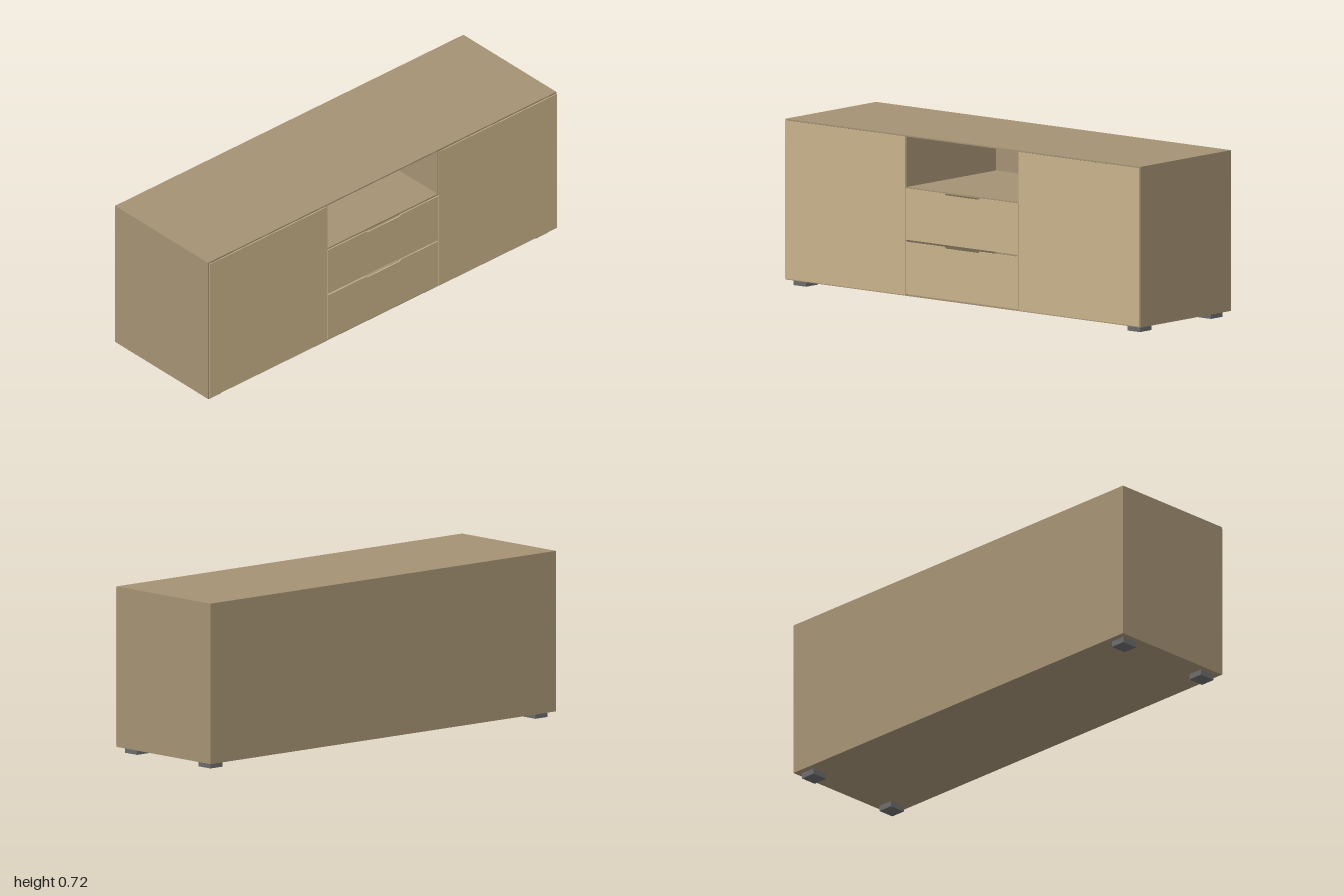
import * as THREE from 'three';

const bodyMat = new THREE.MeshStandardMaterial({ color: 0xa49274 });
const frontMat = new THREE.MeshStandardMaterial({ color: 0xc8b28a });
const footMat = new THREE.MeshStandardMaterial({ color: 0x6b6b6b });

// Box given by its lower and upper limits on each axis
function box(name, mat, [x0, x1], [y0, y1], [z0, z1]) {
  const mesh = new THREE.Mesh(new THREE.BoxGeometry(x1 - x0, y1 - y0, z1 - z0), mat);
  mesh.position.set((x0 + x1) / 2, (y0 + y1) / 2, (z0 + z1) / 2);
  mesh.name = name;
  return mesh;
}

// Drawer front with a shallow finger notch in its top edge
function drawerFront(name, y0, y1) {
  const w = 0.317, n = 0.1, d = 0.007;
  const shape = new THREE.Shape([
    [-w, y0], [w, y0], [w, y1], [n, y1], [n - d, y1 - d],
    [-n + d, y1 - d], [-n, y1], [-w, y1],
  ].map(([x, y]) => new THREE.Vector2(x, y)));
  const geo = new THREE.ExtrudeGeometry(shape, { depth: 0.005, bevelEnabled: false });
  const mesh = new THREE.Mesh(geo, frontMat);
  mesh.position.z = 0.298;
  mesh.name = name;
  return mesh;
}

export function createModel() {
  const model = new THREE.Group();
  model.name = 'sideboard';
  const bottom = 0.025, top = 0.722, back = -0.302, front = 0.295, t = 0.006;
  const inY = [bottom + t, top - t], inZ = [back + t, front];

  // Carcass panels
  const carcass = new THREE.Group();
  carcass.name = 'carcass';
  carcass.add(
    box('topPanel', bodyMat, [-1, 1], [top - t, top], [back, front]),
    box('bottomPanel', bodyMat, [-1, 1], [bottom, bottom + t], [back, front]),
    box('backPanel', bodyMat, [-1, 1], inY, [back, back + t]),
    box('nicheShelf', bodyMat, [-0.318, 0.318], [0.49, 0.497], inZ),
  );
  model.add(carcass);

  // Mirrored side panels, dividers, doors and feet
  for (const [side, s] of [['left', 1], ['right', -1]]) {
    const span = (a, b) => (s > 0 ? [a, b] : [-b, -a]);
    carcass.add(
      box(side + 'SidePanel', bodyMat, span(1 - t, 1), inY, inZ),
      box(side + 'Divider', bodyMat, span(0.318, 0.324), inY, inZ),
    );
    model.add(box(side + 'Door', frontMat, span(0.32, 0.997), [0.03, 0.716], [0.298, 0.302]));
    model.add(box(side + 'FrontFoot', footMat, span(0.905, 0.975), [0, bottom], [0.193, 0.27]));
    model.add(box(side + 'BackFoot', footMat, span(0.905, 0.975), [0, bottom], [-0.275, -0.198]));
  }

  // Two drawers under the open niche
  model.add(drawerFront('lowerDrawer', 0.035, 0.261), drawerFront('upperDrawer', 0.27, 0.492));
  return model;
}
